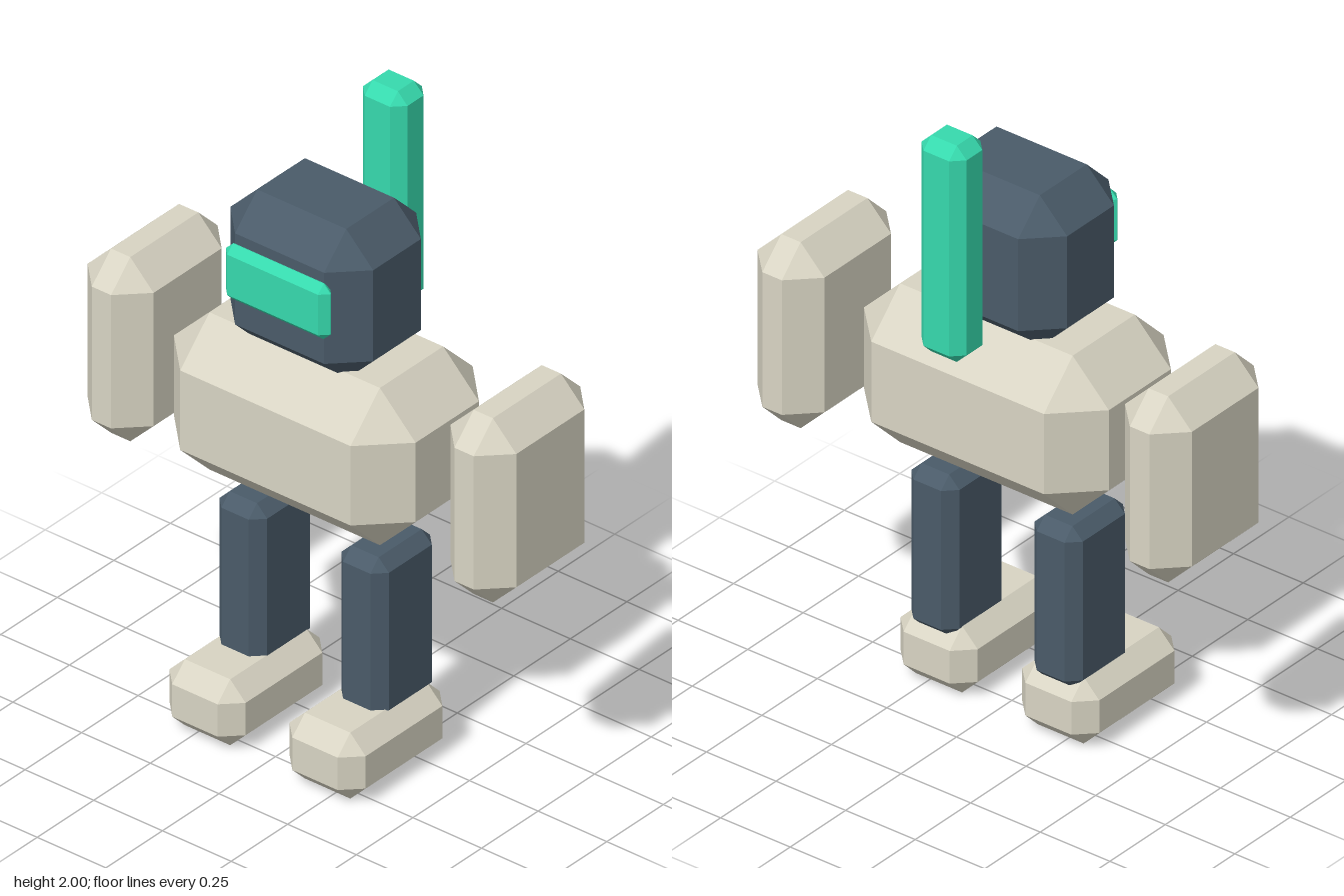
import * as THREE from 'three';
import { ConvexGeometry } from 'three/addons/geometries/ConvexGeometry.js';

function material(name, color) {
  const m = new THREE.MeshStandardMaterial({ color, flatShading: true });
  m.name = name;
  return m;
}

// Box with every edge and corner cut by the same chamfer c; ranges are [min, max]
function chamferedBox(name, mat, [x0, x1], [y0, y1], [z0, z1], c) {
  const half = [(x1 - x0) / 2, (y1 - y0) / 2, (z1 - z0) / 2];
  const points = [];
  for (const sx of [-1, 1]) for (const sy of [-1, 1]) for (const sz of [-1, 1]) {
    for (let axis = 0; axis < 3; axis++) {
      const p = half.map((h, i) => (i === axis ? h : h - c));
      points.push(new THREE.Vector3(sx * p[0], sy * p[1], sz * p[2]));
    }
  }
  const mesh = new THREE.Mesh(new ConvexGeometry(points), mat);
  mesh.position.set((x0 + x1) / 2, (y0 + y1) / 2, (z0 + z1) / 2);
  mesh.name = name;
  return mesh;
}

export function createModel() {
  const shell = material('cream shell', 0xd8d4c3);
  const frame = material('slate frame', 0x4a5b69);
  const glow = material('green glow', 0x36d9ad);
  const robot = new THREE.Group();
  robot.name = 'robot';

  // Body, head and back-mounted antenna
  robot.add(
    chamferedBox('torso', shell, [-0.44, 0.44], [0.79, 1.315], [-0.245, 0.295], 0.13),
    chamferedBox('head', frame, [-0.26, 0.26], [1.27, 1.77], [-0.175, 0.232], 0.098),
    chamferedBox('visor', glow, [-0.19, 0.19], [1.455, 1.64], [0.21, 0.263], 0.025),
    chamferedBox('antenna', glow, [-0.081, 0.081], [1.285, 2.0], [-0.341, -0.2], 0.035)
  );

  // Limbs, mirrored left and right
  const limbs = [
    ['Arm', shell, [0.54, 0.78], [0.74, 1.355], [-0.253, 0.218], 0.085],
    ['Leg', frame, [0.135, 0.308], [0.18, 0.713], [-0.104, 0.16], 0.037],
    ['Foot', shell, [0.08, 0.357], [0, 0.22], [-0.11, 0.341], 0.056]
  ];
  for (const [side, s] of [['left', 1], ['right', -1]]) {
    for (const [part, mat, x, y, z, c] of limbs) {
      const mesh = chamferedBox(side + part, mat, x, y, z, c);
      mesh.position.x *= s;
      robot.add(mesh);
    }
  }
  return robot;
}
